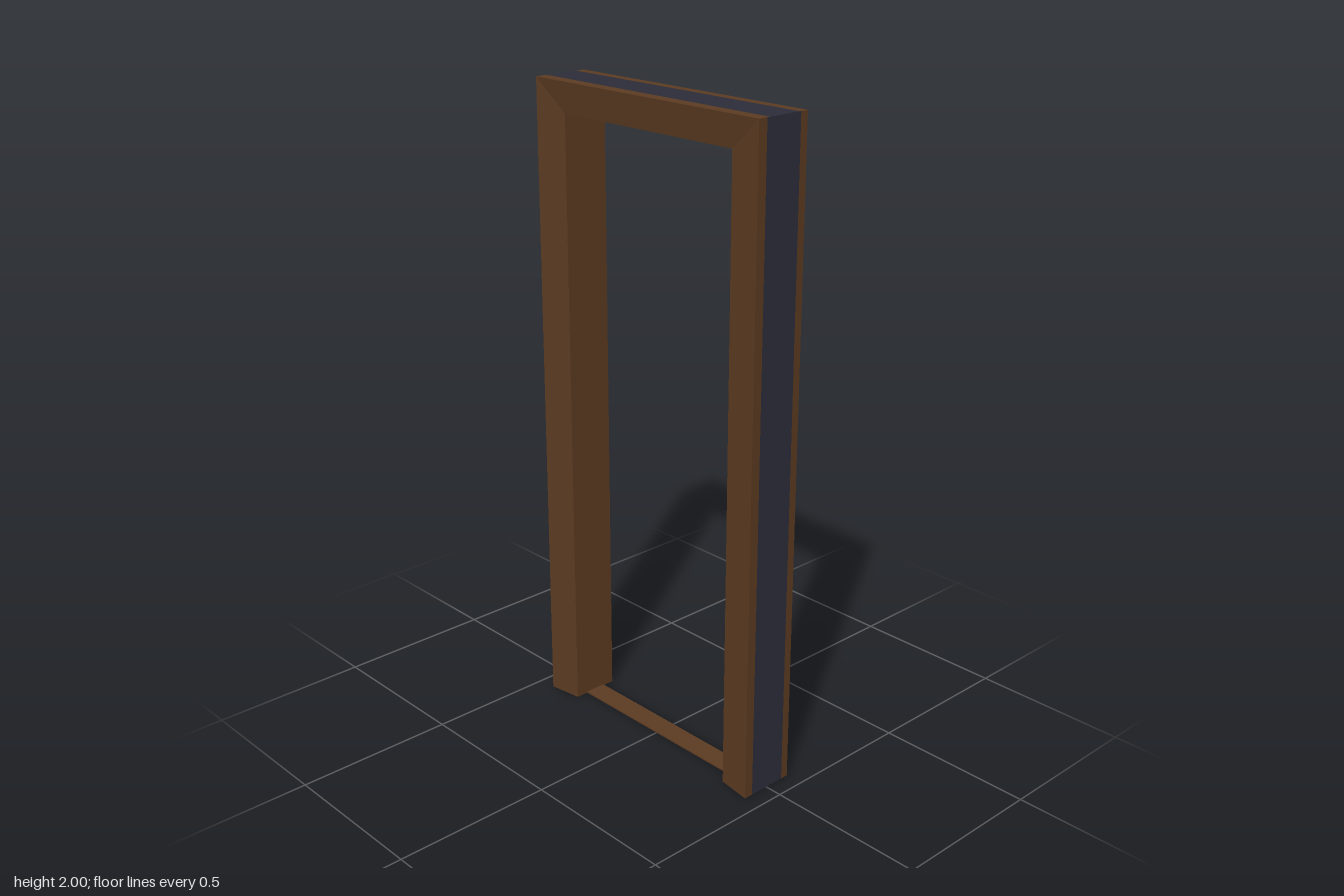
import * as THREE from 'three';

// Mitred path of the frame: outer and inner corner at each station
const STATIONS = [
  { outer: [-0.444, 0], inner: [-0.336, 0] },
  { outer: [-0.444, 2], inner: [-0.336, 1.906] },
  { outer: [0.444, 2], inner: [0.336, 1.906] },
  { outer: [0.444, 0], inner: [0.336, 0] },
];
const OUTER_Z = 0.09; // depth at the outside edge
const INNER_Z = 0.075; // casing tapers towards the opening

export function createModel() {
  const wood = new THREE.MeshStandardMaterial({ color: 0x5c3b22 });
  wood.name = 'brownWood';
  const core = new THREE.MeshStandardMaterial({ color: 0x2d2d3b });
  core.name = 'darkCore';

  const model = new THREE.Group();
  model.name = 'doorFrame';

  const point = (station, [side, z]) => [...station[side], z];

  function addFaces(name, quads, material) {
    const positions = quads.flatMap(([a, b, c, d]) => [a, b, c, a, c, d].flat());
    const geometry = new THREE.BufferGeometry();
    geometry.setAttribute('position', new THREE.Float32BufferAttribute(positions, 3));
    geometry.computeVertexNormals();
    const mesh = new THREE.Mesh(geometry, material);
    mesh.name = name;
    model.add(mesh);
  }

  // One straight member between two mitres, with a dark band on its outside
  function addMember(name, a, b, bandFront, bandBack, capStart, capEnd) {
    const profile = [
      ['outer', OUTER_Z], ['inner', INNER_Z], ['inner', -INNER_Z],
      ['outer', -OUTER_Z], ['outer', bandBack], ['outer', bandFront],
    ];
    const woodQuads = [];
    const bandQuads = [];
    profile.forEach((p, i) => {
      const q = profile[(i + 1) % profile.length];
      const quad = [point(a, p), point(a, q), point(b, q), point(b, p)];
      (i === 4 ? bandQuads : woodQuads).push(quad);
    });
    // Feet of the jambs
    const ends = profile.slice(0, 4);
    if (capStart) woodQuads.push(ends.map((p) => point(a, p)).reverse());
    if (capEnd) woodQuads.push(ends.map((p) => point(b, p)));
    addFaces(name, woodQuads, wood);
    addFaces(name + 'OuterBand', bandQuads, core);
  }

  const [s0, s1, s2, s3] = STATIONS;
  addMember('rightJamb', s0, s1, 0.06, -0.065, true, false);
  addMember('head', s1, s2, 0.051, -0.06, false, false);
  addMember('leftJamb', s2, s3, 0.06, -0.065, false, true);

  // Thin threshold strip between the jambs
  const sill = new THREE.Mesh(new THREE.BoxGeometry(0.672, 0.004, 0.07), wood);
  sill.name = 'threshold';
  sill.position.y = 0.002;
  model.add(sill);

  return model;
}
